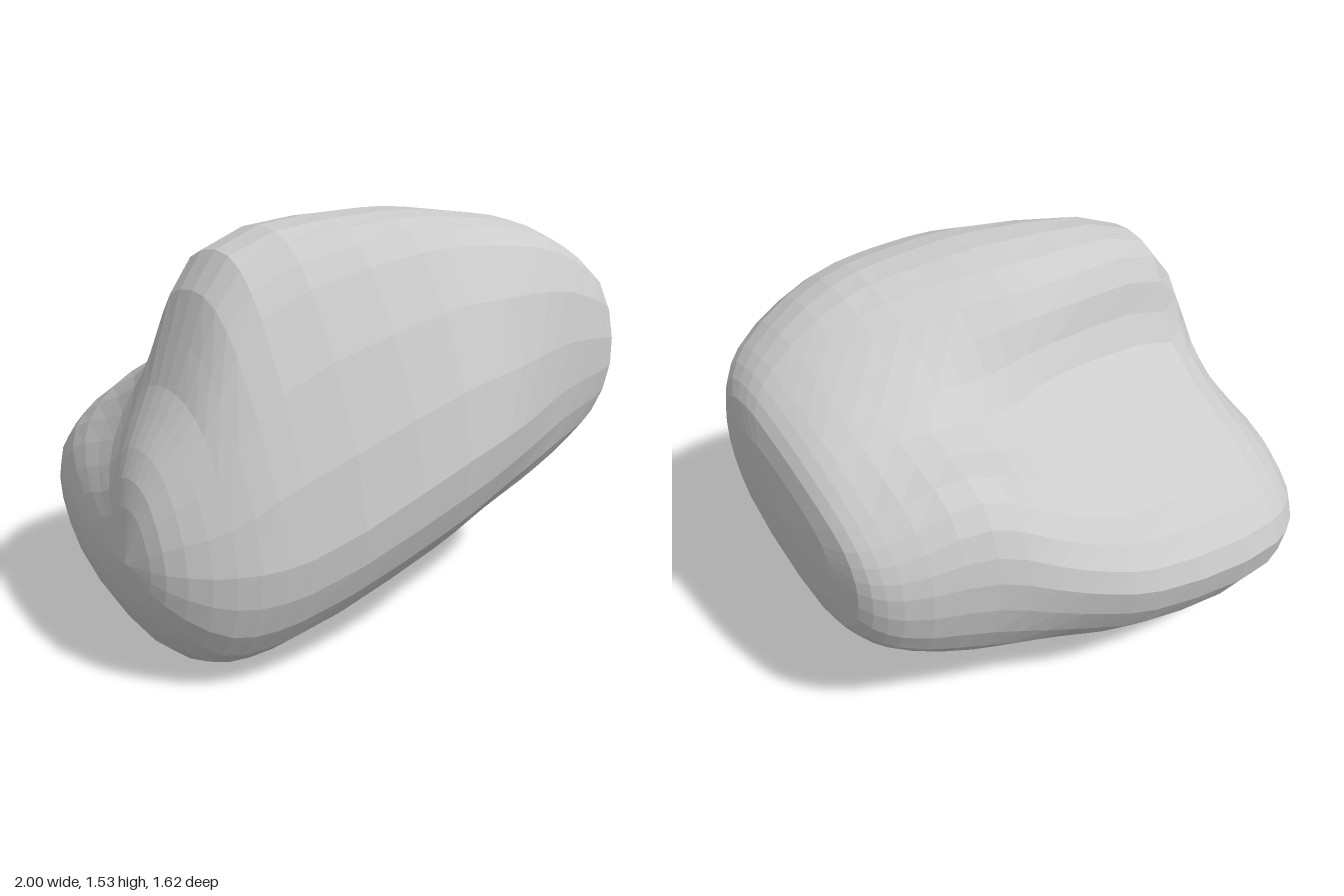
import * as THREE from 'three';

// Cross-sections along x: [z, y] points from the front crest, over the ridge, down
// the hollow to the back edge, under the belly and up the front.
const SECTIONS = [
  [-0.78, [[.38, .9], [.22, 1], [.05, .99], [-.14, .84], [-.5, .69], [-.64, .51], [-.48, .22], [.12, .03], [.46, .15], [.56, .47]]],
  [-0.56, [[.4, 1.25], [.22, 1.43], [-.01, 1.39], [-.14, 1.08], [-.6, .78], [-.79, .53], [-.56, .17], [.16, 0], [.54, .17], [.67, .51]]],
  [0, [[.54, 1.42], [.32, 1.53], [-.02, 1.45], [-.17, 1.17], [-.62, .84], [-.78, .59], [-.6, .27], [-.1, .13], [.64, .38], [.81, .76]]],
  [0.27, [[.6, 1.42], [.37, 1.51], [.05, 1.43], [-.2, 1.14], [-.57, .93], [-.7, .67], [-.55, .34], [-.15, .16], [.62, .46], [.79, .82]]],
  [0.56, [[.63, 1.37], [.41, 1.45], [.14, 1.37], [-.2, 1.18], [-.5, 1.08], [-.6, .8], [-.5, .43], [-.15, .21], [.6, .54], [.73, .88]]],
  [0.86, [[.6, 1.21], [.4, 1.27], [.17, 1.22], [-.1, 1.13], [-.4, .98], [-.48, .8], [-.41, .53], [-.12, .4], [.53, .62], [.67, .9]]],
];
// Rounded ends: tip position, and how far the cap keeps the section's height and depth.
const RIGHT_END = { tip: new THREE.Vector3(-1, 0.46, 0.22), height: 0.5, depth: 0.5 };
const LEFT_END = { tip: new THREE.Vector3(1, 0.82, 0.1), height: 0.72, depth: 0.8 };
const ALONG = 27;
const AROUND = 30;

// A point of the rounded end cap: the section point drawn in towards the tip.
function capPoint(p, { tip, height, depth }) {
  return new THREE.Vector3(
    THREE.MathUtils.lerp(tip.x, p.x, 0.25),
    THREE.MathUtils.lerp(tip.y, p.y, height),
    THREE.MathUtils.lerp(tip.z, p.z, depth),
  );
}

// Smooth rails run from tip to tip; closed loops through them give the surface grid.
function surfaceGrid() {
  const rails = SECTIONS[0][1].map((_, k) => {
    const pts = SECTIONS.map(([x, ring]) => new THREE.Vector3(x, ring[k][1], ring[k][0]));
    return new THREE.CatmullRomCurve3([
      RIGHT_END.tip, capPoint(pts[0], RIGHT_END), ...pts, capPoint(pts.at(-1), LEFT_END), LEFT_END.tip,
    ]);
  });
  const grid = [];
  for (let i = 0; i <= ALONG; i++) {
    const ring = rails.map((rail) => rail.getPoint(i / ALONG));
    const isTip = i === 0 || i === ALONG;
    const loop = new THREE.CatmullRomCurve3(ring, true);
    grid.push(Array.from({ length: AROUND }, (_, j) => (isTip ? ring[0] : loop.getPoint(j / AROUND))));
  }
  return grid;
}

// Faceted skin over the grid, with single triangles at the two tips.
function boulderGeometry() {
  const grid = surfaceGrid();
  const points = [];
  for (let i = 0; i < ALONG; i++) {
    for (let j = 0; j < AROUND; j++) {
      const n = (j + 1) % AROUND;
      const a = grid[i][j], b = grid[i + 1][j], c = grid[i + 1][n], d = grid[i][n];
      if (i < ALONG - 1) points.push(a, b, c);
      if (i > 0) points.push(a, c, d);
    }
  }
  const geometry = new THREE.BufferGeometry().setFromPoints(points);
  geometry.computeVertexNormals();
  return geometry;
}

export function createModel() {
  const group = new THREE.Group();
  group.name = 'rock';
  const boulder = new THREE.Mesh(
    boulderGeometry(),
    new THREE.MeshStandardMaterial({ color: 0xcccccc, flatShading: true }),
  );
  boulder.name = 'boulder';
  group.add(boulder);
  return group;
}
